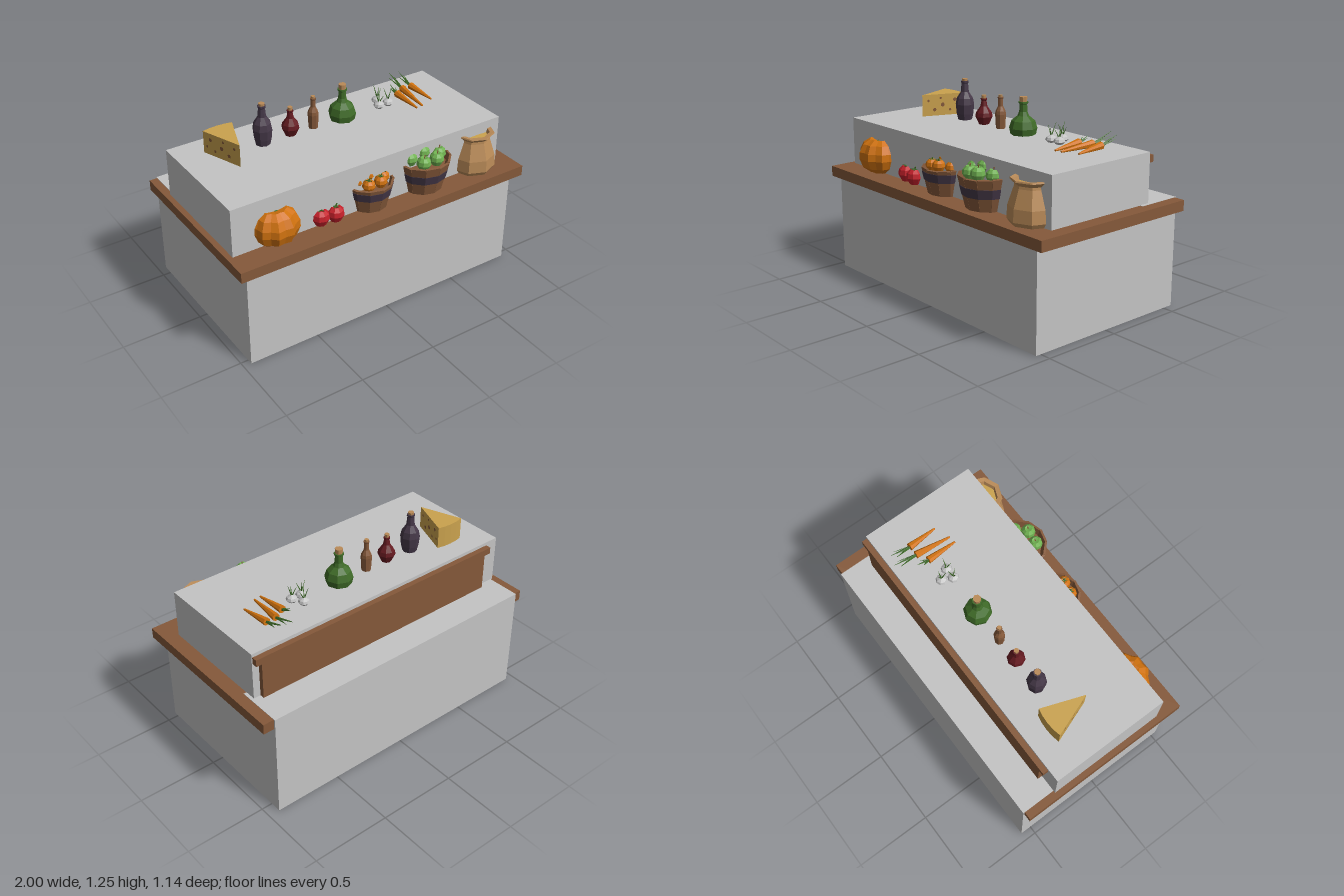
import * as THREE from 'three';

const mat = (name, color) => new THREE.MeshStandardMaterial({ name, color });

export function createModel() {
  const grey = mat('grey', 0xc4c4c4), wood = mat('wood', 0x85593a), orange = mat('orange', 0xd0720f);
  const green = mat('darkGreen', 0x3f6b28), apple = mat('appleGreen', 0x6fb050), red = mat('red', 0xc4202a);
  const purple = mat('purple', 0x453848), wine = mat('wineRed', 0x641a20);
  const tan = mat('tan', 0xba8b58), yellow = mat('cheeseYellow', 0xcaa24e);
  const root = new THREE.Group();
  root.name = 'marketStall';
  const V = (x, y, z) => new THREE.Vector3(x, y, z);

  // Helpers: every part is faceted
  const add = (name, geo, m, x = 0, y = 0, z = 0, parent = root) => {
    const g = geo.index ? geo.toNonIndexed() : geo;
    g.computeVertexNormals();
    const mesh = new THREE.Mesh(g, m);
    mesh.name = name;
    mesh.position.set(x, y, z);
    parent.add(mesh);
    return mesh;
  };
  const box = (name, m, x0, x1, y0, y1, z0, z1) => add(name,
    new THREE.BoxGeometry(x1 - x0, y1 - y0, z1 - z0), m, (x0 + x1) / 2, (y0 + y1) / 2, (z0 + z1) / 2);
  const lathe = (pts, n) => new THREE.LatheGeometry(pts.map(p => new THREE.Vector2(p[0], p[1])), n);
  const rod = (name, m, a, b, r0, r1, n = 5, parent = root) => {
    const d = b.clone().sub(a), c = a.clone().add(b).multiplyScalar(0.5);
    const mesh = add(name, new THREE.CylinderGeometry(r1, r0, d.length(), n), m, c.x, c.y, c.z, parent);
    mesh.quaternion.setFromUnitVectors(V(0, 1, 0), d.normalize());
    return mesh;
  };
  const group = (name, x, y, z) => {
    const g = new THREE.Group();
    g.name = name;
    g.position.set(x, y, z);
    root.add(g);
    return g;
  };

  // Stall body
  box('base', grey, -0.95, 0.93, 0, 0.62, -0.57, 0.535);
  box('baseBackLedge', grey, -0.95, 0.93, 0.6, 0.682, -0.57, -0.28);
  box('counter', wood, -1, 1, 0.614, 0.68, -0.56, 0.57);
  box('upperBlock', grey, -0.965, 0.91, 0.675, 0.985, -0.35, 0.415);
  box('backPanel', wood, -0.84, 0.865, 0.68, 0.925, -0.38, -0.345);
  box('backRail', wood, -0.88, 0.905, 0.92, 0.963, -0.385, -0.345);

  // Cheese wedge with holes on both cut sides
  const wedge = new THREE.Shape();
  wedge.moveTo(-0.79, 0.205);
  wedge.lineTo(-0.695, -0.055);
  wedge.lineTo(-0.6, 0.205);
  wedge.quadraticCurveTo(-0.695, 0.23, -0.79, 0.205);
  add('cheese', new THREE.ExtrudeGeometry(wedge, { depth: 0.14, bevelEnabled: false, curveSegments: 4 })
    .rotateX(-Math.PI / 2), yellow, 0, 0.985, 0);
  const holes = [[0.15, 0.1, 0.009], [0.3, 0.04, 0.012], [0.5, 0.07, 0.014], [0.45, 0.115, 0.008],
    [0.68, 0.035, 0.009], [0.8, 0.1, 0.012], [0.9, 0.05, 0.008]];
  for (const s of [-1, 1]) for (const [t, y, r] of holes) {
    const h = add('cheeseHole', new THREE.CircleGeometry(r, 7), wood,
      -0.695 + s * (0.095 * t + 0.001), 0.985 + y, 0.055 - 0.26 * t + 0.0005);
    h.rotation.y = s * Math.atan2(0.26, 0.095);
  }

  // Bottles with corks
  const bottle = (name, m, x, pts, corkR, corkTop) => {
    const g = group(name, x, 0.985, -0.107);
    const top = pts[pts.length - 1][1];
    add('glass', lathe([[0, 0], ...pts, [0, top]], 8), m, 0, 0, 0, g);
    add('cork', new THREE.CylinderGeometry(corkR, corkR * 0.9, corkTop - top + 0.01, 8), tan, 0, (corkTop + top - 0.01) / 2, 0, g);
  };
  bottle('purpleBottle', purple, -0.455,
    [[0.045, 0], [0.054, 0.04], [0.06, 0.1], [0.052, 0.14], [0.026, 0.18], [0.021, 0.235], [0.025, 0.24], [0.025, 0.25]], 0.019, 0.265);
  bottle('redBottle', wine, -0.265,
    [[0.032, 0], [0.055, 0.05], [0.05, 0.075], [0.022, 0.115], [0.016, 0.15], [0.02, 0.155], [0.02, 0.165]], 0.015, 0.185);
  bottle('brownBottle', wood, -0.105,
    [[0.029, 0], [0.034, 0.09], [0.031, 0.11], [0.016, 0.14], [0.015, 0.185], [0.018, 0.19], [0.018, 0.197]], 0.013, 0.21);
  bottle('greenBottle', green, 0.105,
    [[0.078, 0], [0.086, 0.04], [0.072, 0.085], [0.035, 0.115], [0.025, 0.14], [0.023, 0.185], [0.03, 0.19], [0.03, 0.2]], 0.024, 0.23);

  // White bulbs with green shoots
  [[0.4, -0.155], [0.37, -0.09], [0.438, -0.09]].forEach(([x, z], k) => {
    const g = group('bulb', x, 0.985, z);
    add('bulbBody', lathe([[0, 0], [0.022, 0], [0.036, 0.015], [0.03, 0.03], [0.01, 0.042], [0, 0.05]], 8), grey, 0, 0, 0, g);
    for (let i = 0; i < 3; i++) {
      const a = i * 2.1 + k;
      rod('shoot', green, V(0, 0.035, 0), V(0.03 * Math.cos(a), 0.09 + 0.016 * i, 0.03 * Math.sin(a)), 0.005, 0.0005, 4, g);
    }
  });

  // Carrots lying down, with rising leaves
  [[0.555, 0.548, 0.055, -0.145, -0.22], [0.6, 0.62, 0.05, -0.185, -0.335], [0.7, 0.685, 0.01, -0.185, -0.315]]
    .forEach(([xt, xb, zt, zb, zl]) => {
      rod('carrot', orange, V(xb, 1.007, zb), V(xt, 0.992, zt), 0.024, 0.006, 7);
      for (let i = -1; i <= 1; i++) rod('carrotLeaf', green, V(xb, 1.005, zb),
        V(xb + i * 0.02, 1.02 + (zb - zl) * (i ? 0.1 : 0.25), zl + Math.abs(i) * 0.03), 0.009, 0.001, 4);
    });

  // Ribbed pumpkin
  const ribbed = lathe([[0, 0.01], [0.08, 0], [0.13, 0.035], [0.152, 0.09], [0.15, 0.135], [0.125, 0.185], [0.08, 0.213], [0, 0.195]], 20);
  const p = ribbed.attributes.position;
  for (let i = 0; i < p.count; i++) {
    const k = 1 - 0.045 * (1 - Math.cos(10 * Math.atan2(p.getZ(i), p.getX(i))));
    p.setX(i, p.getX(i) * k);
    p.setZ(i, p.getZ(i) * k);
  }
  add('pumpkin', ribbed, orange, -0.685, 0.68, 0.385);
  add('pumpkinCrown', new THREE.ConeGeometry(0.05, 0.02, 6), green, -0.685, 0.889, 0.385);

  // Round fruit with a small stem
  const fruit = (name, m, x, y, z, r, crown) => {
    const g = group(name, x, y, z);
    add('flesh', lathe([[0, -0.8 * r], [0.6 * r, -0.85 * r], [r, -0.1 * r], [0.9 * r, 0.45 * r], [0.5 * r, 0.85 * r], [0, 0.7 * r]], 9), m, 0, 0, 0, g);
    if (crown) for (let i = 0; i < 5; i++) {
      const a = i * Math.PI * 0.4;
      rod('sepal', green, V(0, 0.8 * r, 0), V(0.55 * r * Math.cos(a), 0.88 * r, 0.55 * r * Math.sin(a)), 0.14 * r, 0.02 * r, 4, g);
    }
    rod('stem', crown ? green : wood, V(0, 0.65 * r, 0), V(0.15 * r, 1.15 * r, 0), 0.07 * r, 0.1 * r, 4, g);
  };
  fruit('tomato', red, -0.39, 0.73, 0.408, 0.056, true);
  fruit('tomato', red, -0.295, 0.728, 0.42, 0.054, true);

  // Stave baskets with a dark band, filled with fruit
  const basket = (name, x, z, h, r0, r1, b0, b1) => {
    const g = group(name, x, 0.68, z), n = 12, tilt = Math.atan2(r1 - r0, h);
    add('basketCore', new THREE.CylinderGeometry(r1 - 0.03, r0 - 0.006, h - 0.03, n), wood, 0, (h - 0.03) / 2, 0, g);
    for (let i = 0; i < n; i++) {
      const stave = new THREE.BoxGeometry(1, h + (i % 3) * 0.006, 0.014), q = stave.attributes.position;
      for (let j = 0; j < q.count; j++) q.setX(j, q.getX(j) * 2 * Math.tan(Math.PI / n) * (q.getY(j) > 0 ? r1 : r0) * 0.97);
      const pivot = new THREE.Group();
      pivot.name = 'stavePivot';
      pivot.rotation.y = (i + 0.5) * Math.PI * 2 / n;
      g.add(pivot);
      add('stave', stave, wood, 0, h / 2, (r0 + r1) / 2 - 0.009, pivot).rotation.x = tilt;
    }
    const rad = y => r0 + (r1 - r0) * y / h + 0.006;
    add('band', lathe([[rad(b0) - 0.015, b0], [rad(b0), b0], [rad(b1), b1], [rad(b1) - 0.015, b1]], n), purple, 0, 0, 0, g);
  };
  const pile = (name, m, x, y, z, ring, r, n) => {
    for (let i = 0; i < n; i++) {
      const a = i * 2 * Math.PI / n + 0.35;
      fruit(name, m, x + ring * Math.cos(a), y + (i % 2) * 0.01, z + ring * Math.sin(a), r, name === 'orange');
    }
    fruit(name, m, x - 0.01, y + 0.03, z + 0.01, r, name === 'orange');
  };
  basket('orangeBasket', -0.035, 0.372, 0.16, 0.115, 0.15, 0.085, 0.138);
  pile('orange', orange, -0.035, 0.85, 0.372, 0.088, 0.04, 7);
  basket('appleBasket', 0.35, 0.385, 0.195, 0.125, 0.17, 0.08, 0.137);
  pile('apple', apple, 0.35, 0.885, 0.385, 0.1, 0.045, 7);

  // Wide jar with a flared rim
  add('jar', lathe([[0, 0], [0.13, 0], [0.145, 0.025], [0.14, 0.1], [0.105, 0.205], [0.103, 0.22],
    [0.13, 0.245], [0.127, 0.253], [0.1, 0.25], [0.092, 0.225]], 8), tan, 0.735, 0.68, 0.387);
  add('jarContents', lathe([[0.096, 0.225], [0, 0.23]], 8), yellow, 0.735, 0.68, 0.387);

  return root;
}
